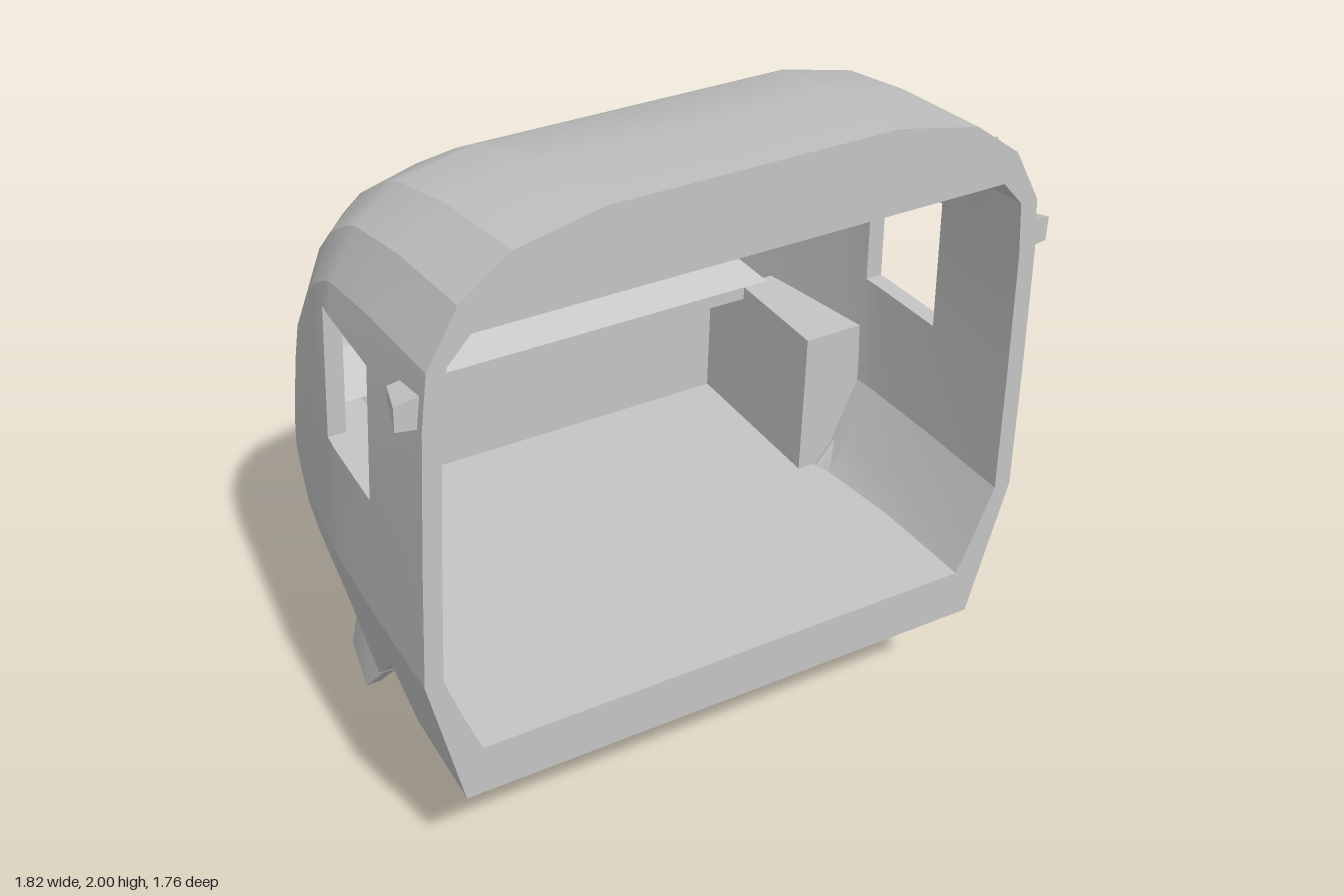
import * as THREE from 'three';
import { toCreasedNormals } from 'three/addons/utils/BufferGeometryUtils.js';

const grey = new THREE.MeshStandardMaterial({ color: 0xc4c4c4, side: THREE.DoubleSide });
grey.name = 'plain grey';

// Collects quads on the +x half and mirrors each one to -x.
class MirroredQuads {
  constructor() { this.p = []; }
  quad(a, b, c, d) {
    const m = (v) => [-v[0], v[1], v[2]];
    for (const v of [a, b, c, a, c, d]) this.p.push(...v);
    for (const v of [a, c, b, a, d, c]) this.p.push(...m(v));
  }
  loft(rings, skip = () => false, flip = false) {
    for (let i = 0; i < rings.length - 1; i++) {
      for (let j = 0; j < rings[i].length - 1; j++) {
        if (skip(i, j)) continue;
        const q = [rings[i][j], rings[i][j + 1], rings[i + 1][j + 1], rings[i + 1][j]];
        if (flip) q.reverse();
        this.quad(...q);
      }
    }
  }
  // flat closing face between a ring and the line x = inner
  cap(ring, inner) {
    for (let j = 0; j < ring.length - 1; j++) {
      const a = ring[j], b = ring[j + 1];
      this.quad([inner, a[1], a[2]], [inner, b[1], b[2]], b, a);
    }
  }
  mesh(name, crease = 0.25) {
    let g = new THREE.BufferGeometry();
    g.setAttribute('position', new THREE.Float32BufferAttribute(this.p, 3));
    g = toCreasedNormals(g, crease);
    return named(new THREE.Mesh(g, grey), name);
  }
}

function named(o, name) { o.name = name; return o; }

// Shoulder profiles from roof to widest point: squarish cab, rounder nose.
const CAB = [[0.48, 0.958], [0.75, 0.874], [0.917, 0.748], [0.95, 0.618], [0.98, 0.294]];
const NOSE = [[0.36, 0.93], [0.64, 0.77], [0.85, 0.53], [0.95, 0.31], [0.995, 0.1]];

// Half cross-section, from roof centre round the side to the underside centre.
function section([z, top, wx, w, hw, ym, bx, yb, yc, t]) {
  const pts = [[0, top, z], [wx, top, z], [w, top, z]];
  CAB.forEach(([u, v], k) => {
    const x = w + (hw - w) * (u + (NOSE[k][0] - u) * t);
    let y = ym + (top - ym) * (v + (NOSE[k][1] - v) * t);
    if (z > 0.2 && k === 3) y = 1.545; // side window head
    if (z > 0.2 && k === 4) y = 1.16;  // side window sill
    pts.push([x, y, z]);
  });
  pts.push([hw, ym, z]);
  pts.push([hw + (bx - hw) * (0.4 - 0.15 * t), ym + (yb - ym) * (0.4 + 0.15 * t), z]);
  pts.push([bx, yb, z], [Math.max(0, bx - 0.08), (yb + yc) / 2, z], [0, yc, z]);
  return pts;
}

// z, top, screen edge, roof edge, half width, widest y, bottom x, bottom y, centre y, roundness
const BODY = [
  [0.88, 2.0, 0.35, 0.39, 0.88, 0.81, 0.78, 0.4, 0.4, 0],
  [0.565, 1.965, 0.36, 0.41, 0.875, 0.81, 0.77, 0.4, 0.4, 0],
  [0.32, 1.91, 0.4, 0.45, 0.865, 0.81, 0.74, 0.4, 0.4, 0],
  [0.27, 1.885, 0.42, 0.47, 0.86, 0.81, 0.725, 0.35, 0.35, 0],
  [0.14, 1.795, 0.47, 0.52, 0.84, 0.8, 0.69, 0.21, 0.22, 0.06],
  [0.02, 1.68, 0.5, 0.55, 0.815, 0.79, 0.66, 0.1, 0.16, 0.15],
  [-0.2, 1.43, 0.465, 0.52, 0.77, 0.76, 0.65, 0.2, 0.17, 0.4],
  [-0.42, 1.18, 0.425, 0.475, 0.7, 0.66, 0.62, 0.25, 0.17, 0.8],
  [-0.49, 1.1, 0.4, 0.45, 0.67, 0.6, 0.59, 0.25, 0.17, 0.9],
];
const HORN = [
  BODY[8],
  [-0.62, 0.9, 0.35, 0.4, 0.6, 0.5, 0.52, 0.25, 0.19, 1],
  [-0.7, 0.78, 0.345, 0.38, 0.53, 0.46, 0.45, 0.25, 0.22, 1],
  [-0.76, 0.69, 0.34, 0.36, 0.46, 0.45, 0.4, 0.25, 0.23, 1],
  [-0.81, 0.62, 0.325, 0.335, 0.4, 0.44, 0.35, 0.27, 0.26, 1],
  [-0.85, 0.56, 0.295, 0.305, 0.345, 0.44, 0.32, 0.33, 0.32, 1],
  [-0.88, 0.47, 0.27, 0.28, 0.305, 0.43, 0.29, 0.4, 0.39, 1],
];

function shapeOf(points) { return new THREE.Shape(points.map(([x, y]) => new THREE.Vector2(x, y))); }

export function createModel() {
  const model = named(new THREE.Group(), 'trainCab');
  const outer = BODY.map(section);
  const sideWindow = (i, j) => j === 6 && i >= 1 && i < 3;
  const screen = (i, j) => j === 0 && i >= 5 && i < 7;
  const opening = (i, j) => sideWindow(i, j) || screen(i, j);

  // Outer shell with window openings, and the hood running out over the recess
  const shell = new MirroredQuads();
  shell.loft(outer, opening);
  shell.loft(HORN.slice(0, 4).map(([z, top, wx]) => [[0, top, z], [wx, top, z]]));
  model.add(shell.mesh('outerShell'));

  // Inner lining: walls, ceiling and floor
  const thickness = [0, 0, 0, 0.04, 0.03, 0.05, 0.05, 0.05, 0.05, 0.07, 0.05, 0.05, 0];
  const inner = outer.map((ring) => ring.map(([x, y, z], j) => [
    x - thickness[j],
    Math.min(1.77, Math.max(0.55, y)),
    z < 0.15 ? z + 0.03 : z,
  ]));
  const lining = new MirroredQuads();
  lining.loft(inner, opening, true);
  model.add(lining.mesh('innerLining'));

  // End frame round the open end
  const frame = new MirroredQuads();
  for (let j = 0; j < 12; j++) frame.quad(outer[0][j], inner[0][j], inner[0][j + 1], outer[0][j + 1]);
  model.add(frame.mesh('endFrame'));

  // Window reveals
  const reveal = new MirroredQuads();
  const edge = (i, j, k, l) => reveal.quad(outer[i][j], outer[k][l], inner[k][l], inner[i][j]);
  for (const i of [1, 2]) { edge(i, 6, i + 1, 6); edge(i + 1, 7, i, 7); }
  edge(1, 7, 1, 6); edge(3, 6, 3, 7);
  for (const i of [5, 6]) edge(i + 1, 1, i, 1);
  edge(5, 1, 5, 0); edge(7, 0, 7, 1);
  model.add(reveal.mesh('windowReveals'));

  // Nose horns with inner walls leaning into the recess
  const horns = new MirroredQuads();
  const rings = HORN.map((s) => section(s).map(([x, y, z], j) => [j === 0 ? s[2] : Math.max(0.26, x), y, z]));
  horns.loft(rings);
  horns.cap(rings[6], 0.26);
  for (let i = 0; i < 6; i++) horns.quad(rings[i][12], rings[i][0], rings[i + 1][0], rings[i + 1][12]);
  model.add(horns.mesh('noseHorns'));

  // Sloping panel and ledge in the recess
  const panel = new MirroredQuads();
  panel.quad([0, 0.86, -0.53], [0.36, 0.86, -0.53], [0.265, 0.26, -0.76], [0, 0.26, -0.76]);
  model.add(panel.mesh('recessPanel'));
  const ledge = named(new THREE.Mesh(new THREE.BoxGeometry(0.54, 0.03, 0.27), grey), 'recessLedge');
  ledge.position.set(0, 0.245, -0.625);
  model.add(ledge);

  // Flared skirt below the nose
  const top = [[0, 0.175, -0.53], [0.2, 0.175, -0.52], [0.36, 0.18, -0.47], [0.5, 0.2, -0.37], [0.62, 0.18, -0.2], [0.66, 0.12, 0.05]];
  const low = [[0, 0.015, -0.67], [0.22, 0.015, -0.65], [0.39, 0.012, -0.58], [0.54, 0.01, -0.42], [0.635, 0, -0.25], [0.675, 0, -0.05]];
  const inset = (r) => r.map(([x, y, z], i) => [x * 0.93, y, z + 0.03 * (1 - i / 5)]);
  const skirt = new MirroredQuads();
  const [topIn, lowIn] = [inset(top), inset(low)];
  skirt.loft([low, top], undefined, true);
  skirt.loft([lowIn, topIn]);
  skirt.loft([low, lowIn]);
  skirt.quad(top[5], low[5], lowIn[5], topIn[5]);
  model.add(skirt.mesh('skirt', 0.42));

  // Driver's desk: front panel, desk top and dashboard, narrowing with the nose
  const desk = new THREE.ExtrudeGeometry(shapeOf([[-0.08, 0.96], [-0.08, 1], [-0.24, 1.07], [-0.45, 1.07],
    [-0.45, 0.55], [-0.26, 0.55], [-0.26, 0.96]]), { depth: 1, bevelEnabled: false });
  desk.translate(0, 0, -0.5).rotateY(-Math.PI / 2);
  const pos = desk.attributes.position;
  for (let i = 0; i < pos.count; i++) pos.setX(i, Math.sign(pos.getX(i)) * (0.7 + (pos.getZ(i) + 0.08) * 0.45));
  desk.computeVertexNormals();
  model.add(named(new THREE.Mesh(desk, grey), 'desk'));

  // Mirrored fittings
  for (const s of [1, -1]) {
    const side = named(new THREE.Group(), s > 0 ? 'leftFittings' : 'rightFittings');
    side.scale.x = s;
    const add = (geo, name) => { const m = named(new THREE.Mesh(geo, grey), name); side.add(m); return m; };

    // Side cabinet following the wall as it narrows
    const cabinet = new THREE.ExtrudeGeometry(shapeOf([[0.62, 0.55], [0.72, 0.55], [0.81, 0.81], [0.8, 1], [0.62, 1]]),
      { depth: 0.36, bevelEnabled: false });
    cabinet.translate(0, 0, -0.1);
    const cp = cabinet.attributes.position;
    for (let i = 0; i < cp.count; i++) if (cp.getZ(i) < 0 && cp.getX(i) > 0.7) cp.setX(i, cp.getX(i) - 0.07);
    cabinet.computeVertexNormals();
    add(cabinet, 'sideCabinet');
    add(new THREE.BoxGeometry(0.06, 0.41, 0.2).translate(0.65, 0.755, -0.2), 'cabinetBack');

    // Tapered mirror housing
    const mirror = new THREE.BoxGeometry(0.07, 0.09, 0.105);
    const mp = mirror.attributes.position;
    for (let i = 0; i < mp.count; i++) {
      const back = mp.getZ(i) < 0, out = mp.getX(i) > 0;
      if (back) mp.setY(i, mp.getY(i) * 0.6);
      if (out) { mp.setY(i, mp.getY(i) * 0.75); if (back) mp.setX(i, 0.005); }
    }
    mirror.computeVertexNormals();
    add(mirror, 'sideMirror').position.set(0.875, 1.585, 0.802);

    // Small bolt and slanted bar on the end frame
    const bolt = add(new THREE.CylinderGeometry(0.012, 0.012, 0.004, 3).rotateX(Math.PI / 2), 'frameBolt');
    bolt.position.set(0.265, 0.49, 0.88);
    const bar = add(new THREE.BoxGeometry(0.09, 0.01, 0.004), 'frameBar');
    bar.position.set(0.655, 1.875, 0.88);
    bar.rotation.z = 0.8;
    model.add(side);
  }
  return model;
}
